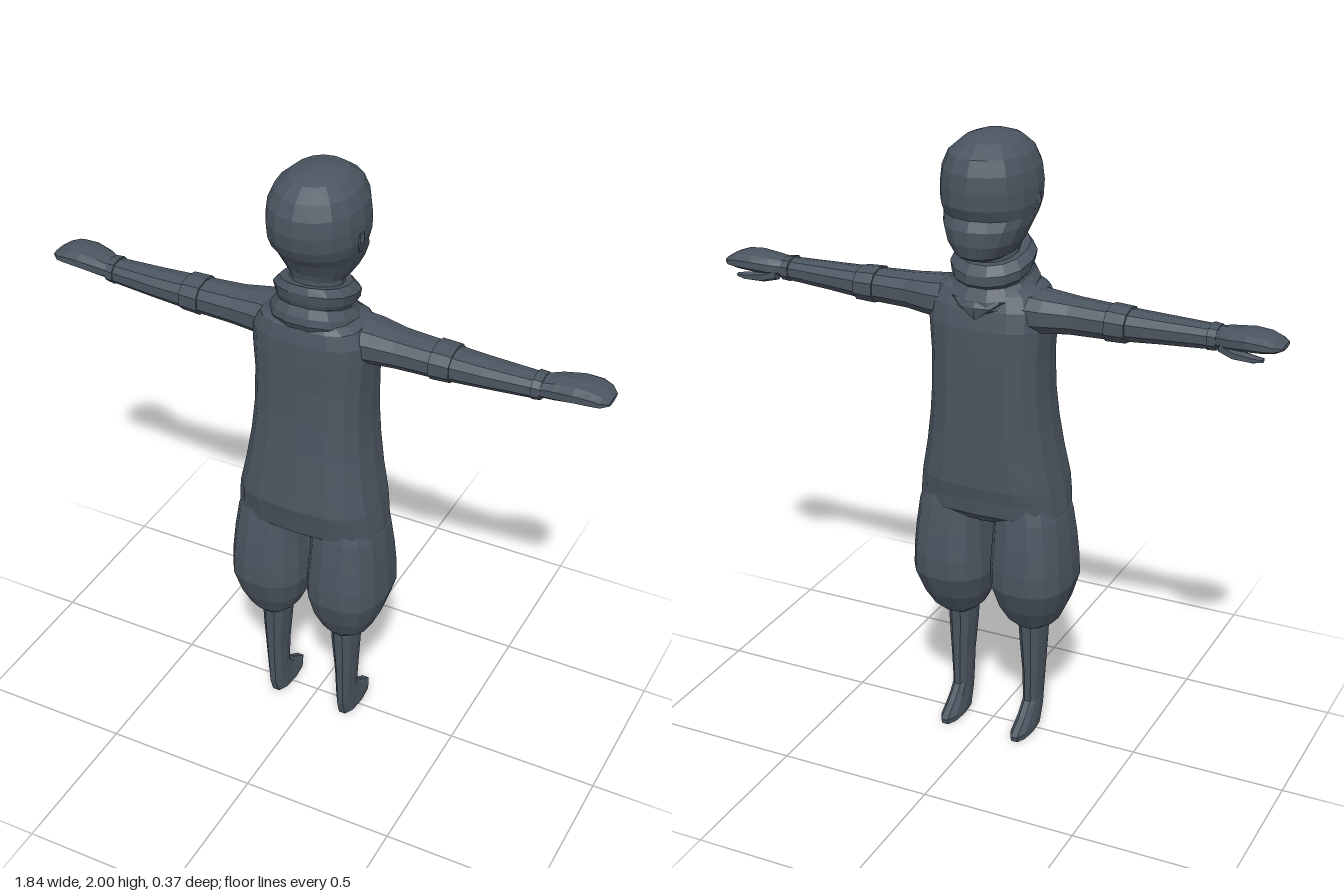
import * as THREE from 'three';

const slate = new THREE.MeshStandardMaterial({ color: 0x4b5560, flatShading: true });
slate.name = 'dark slate';

// Closed loft along y. Each ring: [y, xMin, xMax, zMin, zMax].
// power 2 gives ellipses, more gives boxier sections; tilt raises y with z.
function loft(rings, sides = 12, power = 2, tilt = 0) {
  const pos = [], index = [];
  const bend = v => Math.sign(v) * Math.pow(Math.abs(v), 2 / power);
  const point = (x, y, z) => pos.push(x, y + tilt * z, z);
  for (const [y, x0, x1, z0, z1] of rings) {
    for (let j = 0; j < sides; j++) {
      const t = j / sides * Math.PI * 2;
      point((x0 + x1) / 2 + bend(Math.cos(t)) * (x1 - x0) / 2, y,
        (z0 + z1) / 2 + bend(Math.sin(t)) * (z1 - z0) / 2);
    }
  }
  const n = rings.length, bottom = n * sides, top = bottom + 1;
  for (const [y, x0, x1, z0, z1] of [rings[0], rings[n - 1]]) point((x0 + x1) / 2, y, (z0 + z1) / 2);
  for (let j = 0; j < sides; j++) {
    const k = (j + 1) % sides;
    for (let i = 0; i < n - 1; i++) {
      const a = i * sides + j, b = i * sides + k;
      index.push(a, b + sides, b, a, a + sides, b + sides);
    }
    index.push(bottom, j, k, top, (n - 1) * sides + k, (n - 1) * sides + j);
  }
  const g = new THREE.BufferGeometry();
  g.setAttribute('position', new THREE.Float32BufferAttribute(pos, 3));
  g.setIndex(index);
  g.computeVertexNormals();
  return g;
}

// Loft along +x. Each ring: [x, yMin, yMax, zMin, zMax].
function loftX(rings, sides = 10, power = 2) {
  return loft(rings.map(([x, y0, y1, z0, z1]) => [x, -y1, -y0, z0, z1]), sides, power)
    .rotateZ(-Math.PI / 2);
}

// Rings symmetric about x = 0: [y, halfWidth, zMin, zMax]
const centred = rings => rings.map(([y, w, z0, z1]) => [y, -w, w, z0, z1]);

function mirrored(geometry) {
  const g = geometry.clone().scale(-1, 1, 1);
  const a = g.index.array;
  for (let i = 0; i < a.length; i += 3) [a[i], a[i + 1]] = [a[i + 1], a[i]];
  g.computeVertexNormals();
  return g;
}

export function createModel() {
  const model = new THREE.Group();
  model.name = 'figure';
  const add = (name, geometry) => {
    const mesh = new THREE.Mesh(geometry, slate);
    mesh.name = name;
    model.add(mesh);
  };
  const addPair = (name, geometry) => {
    add(name + 'A', geometry);
    add(name + 'B', mirrored(geometry));
  };

  // Head, with a shallow dent across the eyes
  add('head', loft(centred([
    [1.635, 0.06, -0.14, 0.06],
    [1.65, 0.085, -0.167, 0.08],
    [1.69, 0.112, -0.18, 0.09],
    [1.735, 0.13, -0.18, 0.115],
    [1.765, 0.138, -0.163, 0.14],
    [1.80, 0.146, -0.18, 0.158],
    [1.85, 0.147, -0.182, 0.166],
    [1.90, 0.141, -0.177, 0.16],
    [1.945, 0.122, -0.158, 0.138],
    [1.98, 0.082, -0.11, 0.097],
    [1.995, 0.04, -0.05, 0.05],
    [2.0, 0.01, -0.01, 0.02],
  ]), 16, 2.15));
  addPair('ear', loft([
    [1.76, 0.125, 0.14, -0.01, 0.01],
    [1.80, 0.13, 0.152, -0.015, 0.025],
    [1.825, 0.13, 0.15, -0.01, 0.02],
  ], 6));
  add('neck', loft(centred([[1.52, 0.085, -0.08, 0.09], [1.68, 0.08, -0.08, 0.085]])));

  // Two rolls of a scarf, sloping down toward the face side
  add('scarfUpper', loft(centred([
    [1.56, 0.105, -0.10, 0.115],
    [1.585, 0.122, -0.125, 0.125],
    [1.615, 0.128, -0.125, 0.13],
    [1.64, 0.105, -0.105, 0.12],
    [1.635, 0.085, -0.085, 0.10],
  ]), 14, 2.2, 0.25));
  add('scarfLower', loft(centred([
    [1.49, 0.125, -0.115, 0.125],
    [1.515, 0.14, -0.135, 0.14],
    [1.54, 0.138, -0.13, 0.135],
    [1.57, 0.12, -0.11, 0.12],
  ]), 14, 2.2, 0.25));
  add('scarfPoint', loft([
    [1.455, -0.01, 0.01, -0.135, -0.10],
    [1.49, -0.07, 0.07, -0.14, -0.07],
    [1.51, -0.11, 0.11, -0.125, -0.05],
  ], 8));

  // Long loose tunic
  add('tunic', loft(centred([
    [0.77, 0.09, -0.09, 0.12],
    [0.80, 0.243, -0.118, 0.162],
    [0.85, 0.238, -0.125, 0.172],
    [0.90, 0.23, -0.137, 0.184],
    [1.00, 0.21, -0.138, 0.172],
    [1.10, 0.195, -0.14, 0.16],
    [1.20, 0.186, -0.141, 0.15],
    [1.32, 0.185, -0.14, 0.142],
    [1.42, 0.192, -0.138, 0.14],
    [1.48, 0.188, -0.125, 0.138],
    [1.525, 0.165, -0.105, 0.128],
    [1.55, 0.12, -0.08, 0.11],
  ]), 16, 2.9));

  // Baggy trouser legs gathered at the knee
  addPair('trouserLeg', loft([
    [0.39, 0.075, 0.185, -0.04, 0.115],
    [0.41, 0.05, 0.215, -0.06, 0.13],
    [0.47, 0.022, 0.243, -0.10, 0.16],
    [0.55, 0.003, 0.267, -0.135, 0.184],
    [0.62, 0.006, 0.264, -0.137, 0.183],
    [0.70, 0.012, 0.257, -0.128, 0.173],
    [0.79, 0.015, 0.245, -0.115, 0.158],
    [0.86, 0.03, 0.22, -0.10, 0.14],
  ], 14, 2.5));

  // Bare shins running into pointed feet
  addPair('lowerLeg', loft([
    [0.0, 0.095, 0.157, -0.113, 0.07],
    [0.018, 0.095, 0.158, -0.118, 0.078],
    [0.06, 0.099, 0.156, -0.055, 0.09],
    [0.10, 0.1, 0.155, -0.014, 0.09],
    [0.20, 0.097, 0.16, -0.016, 0.096],
    [0.32, 0.086, 0.167, -0.022, 0.104],
    [0.42, 0.08, 0.17, -0.028, 0.108],
  ], 10, 2.3));

  // Arms held straight out
  addPair('arm', loftX([
    [0.13, 1.40, 1.535, -0.10, 0.085],
    [0.19, 1.406, 1.53, -0.095, 0.075],
    [0.27, 1.412, 1.522, -0.075, 0.065],
    [0.42, 1.415, 1.515, -0.065, 0.057],
    [0.55, 1.425, 1.51, -0.056, 0.052],
    [0.72, 1.436, 1.506, -0.046, 0.04],
  ], 10, 2.3));
  // Raised bands at elbow and wrist
  for (const [name, x0, x1, y0, y1, z0, z1] of [
    ['elbowBand', 0.385, 0.448, 1.41, 1.522, -0.073, 0.064],
    ['wristBand', 0.695, 0.722, 1.432, 1.512, -0.053, 0.046],
  ]) {
    addPair(name, loftX([[x0, y0, y1, z0, z1], [x1, y0 + 0.003, y1 - 0.003, z0, z1 - 0.003]], 10, 2.3));
  }

  // Mitten hands with a thumb underneath
  addPair('hand', loftX([
    [0.71, 1.445, 1.503, -0.045, 0.04],
    [0.76, 1.447, 1.512, -0.07, 0.045],
    [0.82, 1.456, 1.518, -0.085, 0.05],
    [0.87, 1.46, 1.514, -0.085, 0.047],
    [0.90, 1.464, 1.502, -0.075, 0.04],
    [0.922, 1.473, 1.488, -0.05, 0.02],
  ], 10, 2.3));
  addPair('thumb', loftX([
    [0.735, 1.438, 1.48, -0.06, -0.01],
    [0.78, 1.43, 1.466, -0.075, -0.03],
    [0.84, 1.43, 1.455, -0.075, -0.038],
    [0.87, 1.437, 1.45, -0.068, -0.045],
  ], 6));

  return model;
}
